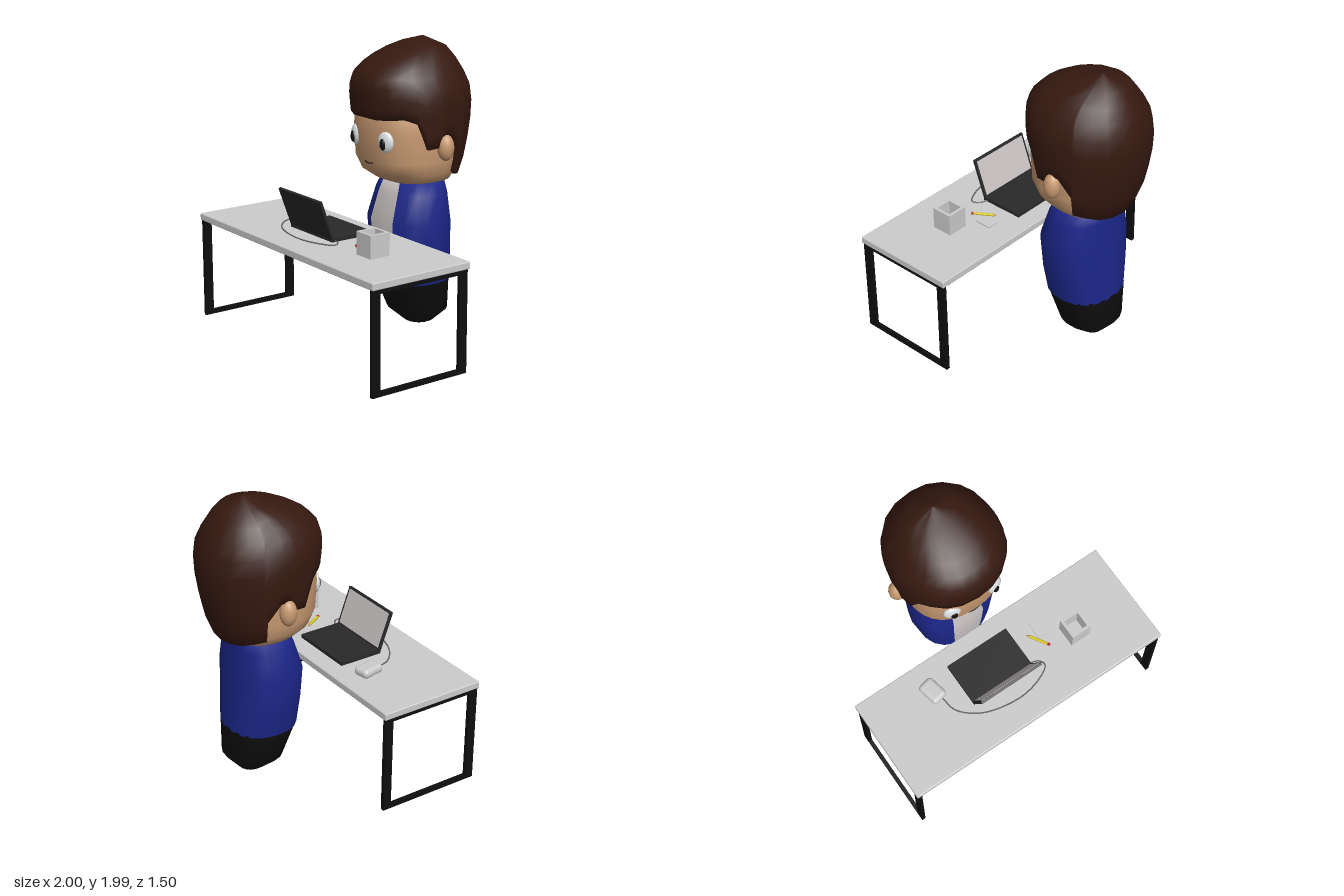
import * as THREE from 'three';
import { RoundedBoxGeometry } from 'three/addons/geometries/RoundedBoxGeometry.js';

const mat = (color) => new THREE.MeshStandardMaterial({ color, side: THREE.DoubleSide });
const GREY = mat(0xcccccc), SKIN = mat(0xc89a72), HAIR = mat(0x361910), BLUE = mat(0x1b2688),
  BLACK = mat(0x0e0e0e), DARK = mat(0x292929), WHITE = mat(0xc9c2c2), EYE = mat(0xdde2e4),
  YELLOW = mat(0xe0d020), RED = mat(0xc02828), WIRE = mat(0x6a6a6a);

// Rows are [y, half width, front z, back z], listed upwards
function sample(rows, y) {
  let i = 0;
  while (i < rows.length - 2 && y > rows[i + 1][0]) i++;
  const a = rows[i], b = rows[i + 1];
  const t = THREE.MathUtils.clamp((y - a[0]) / (b[0] - a[0]), 0, 1);
  return a.map((v, k) => v + (b[k] - v) * t);
}

// Point on a rounded cross-section, angle measured from the front towards +x
function ringPoint([y, w, zf, zb], deg, cx, power, scale = 1) {
  const a = THREE.MathUtils.degToRad(deg);
  const s = Math.sin(a), c = Math.cos(a);
  const u = Math.sign(s) * Math.abs(s) ** power, v = Math.sign(c) * Math.abs(c) ** power;
  return [cx + w * u * scale, y, (zf + zb) / 2 + ((zf - zb) / 2) * v * scale];
}

// Skins a grid of points: nRows rings of nCols points
function skin(nRows, nCols, pointAt, closed) {
  const pos = [], idx = [];
  for (let j = 0; j < nRows; j++) for (let i = 0; i < nCols; i++) pos.push(...pointAt(j, i));
  for (let j = 0; j < nRows - 1; j++) {
    for (let i = 0; i < (closed ? nCols : nCols - 1); i++) {
      const k = (i + 1) % nCols, a = j * nCols + i, b = j * nCols + k;
      idx.push(a, b, b + nCols, a, b + nCols, a + nCols);
    }
  }
  const g = new THREE.BufferGeometry();
  g.setAttribute('position', new THREE.Float32BufferAttribute(pos, 3));
  g.setIndex(idx);
  g.computeVertexNormals();
  return g;
}

function loft(rows, angles, cx, power, closed) {
  return skin(rows.length, angles.length, (j, i) => ringPoint(rows[j], angles[i], cx, power), closed);
}

const range = (from, to, n) => Array.from({ length: n + 1 }, (_, i) => from + ((to - from) * i) / n);

function add(parent, name, geometry, material, x = 0, y = 0, z = 0) {
  const m = new THREE.Mesh(geometry, material);
  m.name = name;
  m.position.set(x, y, z);
  parent.add(m);
  return m;
}
const box = (w, h, d) => new THREE.BoxGeometry(w, h, d);

function makePerson() {
  const person = new THREE.Group();
  person.name = 'person';
  const cx = -0.035, bx = -0.02;
  const around = range(0, 360, 18).slice(0, -1);

  // Tapered lower body
  add(person, 'trousers', loft([[0.005, 0, -0.41, -0.41], [0.005, 0.1, -0.31, -0.5],
    [0.1, 0.21, -0.2, -0.585], [0.34, 0.255, -0.1, -0.58]], around, bx, 0.85, true), BLACK);

  // Open jacket with the shirt showing down the front
  const torso = [[0.33, 0.257, -0.1, -0.58], [0.54, 0.297, -0.085, -0.565], [0.76, 0.312, -0.073, -0.555],
    [0.95, 0.27, -0.13, -0.54], [1.04, 0.225, -0.165, -0.53], [1.06, 0, -0.34, -0.34]];
  add(person, 'jacket', loft(torso, range(19, 341, 17), bx, 0.85, false), BLUE);
  add(person, 'shirt', loft(torso, range(-19, 19, 3), bx, 0.85, false), WHITE);

  // Rounded square head
  add(person, 'head', loft([[1.0, 0, -0.35, -0.35], [1.01, 0.17, -0.2, -0.54], [1.04, 0.265, -0.12, -0.58],
    [1.1, 0.31, -0.03, -0.6], [1.19, 0.332, 0.015, -0.62], [1.39, 0.338, 0.03, -0.65],
    [1.55, 0.33, 0.02, -0.66], [1.7, 0.25, -0.06, -0.6], [1.74, 0, -0.35, -0.35]],
    range(0, 360, 28).slice(0, -1), cx, 0.83, true), SKIN);

  // Hair cap: every strand column ends at its own hairline height
  const cap = [[1.03, 0.32, -0.02, -0.63], [1.15, 0.355, 0.0, -0.68], [1.3, 0.375, 0.035, -0.715],
    [1.5, 0.385, 0.06, -0.75], [1.61, 0.39, 0.072, -0.74], [1.69, 0.37, 0.075, -0.73], [1.79, 0.32, 0.05, -0.68],
    [1.9, 0.225, -0.13, -0.61], [1.955, 0.13, -0.3, -0.55], [1.99, 0, -0.44, -0.44]];
  const half = [[0, 1.49], [16, 1.485], [32, 1.49], [47, 1.5], [60, 1.47], [71, 1.29], [84, 1.3], [89, 1.37],
    [97, 1.37], [111, 1.25], [113, 1.1], [128, 1.08], [146, 1.05], [164, 1.035], [180, 1.03]];
  const hairline = [...half, ...half.slice(1, -1).reverse().map(([a, y]) => [360 - a, y])];
  const steps = [0, 0, 0.13, 0.27, 0.41, 0.54, 0.66, 0.76, 0.85, 0.93, 1];
  add(person, 'hair', skin(steps.length, hairline.length, (j, i) => {
    const [angle, low] = hairline[i];
    const row = sample(cap, low + (1.99 - low) * steps[j]);
    return ringPoint(row, angle, cx, 0.92, j === 0 ? 0.87 : 1);
  }, true), HAIR);

  // Ears, eyes and pupils
  for (const s of [-1, 1]) {
    const ear = add(person, s > 0 ? 'leftEar' : 'rightEar', new THREE.SphereGeometry(1, 14, 10), SKIN, cx + s * 0.37, 1.295, -0.345);
    ear.scale.set(0.055, 0.09, 0.058);
    const eye = add(person, s > 0 ? 'leftEye' : 'rightEye', new THREE.SphereGeometry(1, 18, 12), EYE, cx + s * 0.165, 1.34, -0.005);
    eye.scale.set(0.06, 0.072, 0.03);
    eye.rotation.y = s * 0.3;
    const pupil = add(person, s > 0 ? 'leftPupil' : 'rightPupil', new THREE.SphereGeometry(1, 14, 10), BLACK, cx + s * 0.163, 1.328, 0.018);
    pupil.scale.set(0.025, 0.04, 0.02);
    pupil.rotation.y = s * 0.3;
  }

  // Small smile
  const smile = new THREE.QuadraticBezierCurve3(new THREE.Vector3(-0.08, 1.18, 0.008),
    new THREE.Vector3(cx, 1.165, 0.018), new THREE.Vector3(0.01, 1.18, 0.008));
  add(person, 'mouth', new THREE.TubeGeometry(smile, 10, 0.004, 6), BLACK);
  return person;
}

function makeDesk() {
  const desk = new THREE.Group();
  desk.name = 'desk';
  add(desk, 'deskTop', new RoundedBoxGeometry(2, 0.05, 0.76, 2, 0.008), GREY, 0, 0.712, 0.372);
  // Rectangular leg frames
  for (const s of [-1, 1]) {
    const frame = new THREE.Group();
    frame.name = s > 0 ? 'leftLegFrame' : 'rightLegFrame';
    frame.position.x = s * 0.975;
    for (const z of [0.035, 0.715]) add(frame, 'upright', box(0.027, 0.69, 0.06), BLACK, 0, 0.345, z);
    for (const y of [0.015, 0.673]) add(frame, 'rail', box(0.027, 0.03, 0.68), BLACK, 0, y, 0.375);
    desk.add(frame);
  }
  return desk;
}

function makeLaptop() {
  const laptop = new THREE.Group();
  laptop.name = 'laptop';
  laptop.position.set(-0.095, 0.737, 0);
  add(laptop, 'keyboardBase', box(0.48, 0.025, 0.32), DARK, 0, 0.0125, 0.28);
  const lid = new THREE.Group();
  lid.name = 'lid';
  lid.position.set(0, 0.015, 0.43);
  lid.rotation.x = 0.35;
  add(lid, 'lidPanel', box(0.48, 0.285, 0.018), DARK, 0, 0.1425, 0);
  add(lid, 'screen', box(0.45, 0.25, 0.004), WHITE, 0, 0.145, -0.0095);
  laptop.add(lid);
  return laptop;
}

function makeDeskItems() {
  const items = new THREE.Group();
  items.name = 'deskItems';

  // Mouse and its cable
  const mouse = add(items, 'mouse', new RoundedBoxGeometry(0.12, 0.065, 0.17, 4, 0.03), GREY, -0.515, 0.77, 0.21);
  mouse.rotation.y = 0.2;
  const path = [[-0.485, 0.285], [-0.46, 0.4], [-0.32, 0.52], [-0.05, 0.575], [0.14, 0.535], [0.22, 0.48], [0.2, 0.435], [0.135, 0.41]];
  const curve = new THREE.CatmullRomCurve3(path.map(([x, z]) => new THREE.Vector3(x, 0.744, z)));
  add(items, 'mouseCable', new THREE.TubeGeometry(curve, 60, 0.005, 6), WIRE);

  // Pencil lying at an angle, point towards the back
  const pencil = new THREE.Group();
  pencil.name = 'pencil';
  pencil.position.set(0.282, 0.748, 0.31);
  pencil.rotation.y = Math.atan2(0.095, 0.15);
  const rod = (name, rTip, rEnd, length, z, m) =>
    add(pencil, name, new THREE.CylinderGeometry(rEnd, rTip, length, 6).rotateX(Math.PI / 2), m, 0, 0, z);
  rod('pencilTip', 0.001, 0.01, 0.025, -0.077, SKIN);
  rod('pencilBody', 0.01, 0.01, 0.135, 0.003, YELLOW);
  rod('pencilEraser', 0.01, 0.01, 0.018, 0.079, RED);
  items.add(pencil);

  add(items, 'notepad', box(0.075, 0.01, 0.125), GREY, 0.332, 0.741, 0.243);

  // Square pen holder
  const holder = new THREE.Group();
  holder.name = 'penHolder';
  holder.position.set(0.525, 0.735, 0.395);
  add(holder, 'holderFloor', box(0.15, 0.015, 0.15), GREY, 0, 0.0075, 0);
  for (const s of [-1, 1]) {
    add(holder, 'holderSide', box(0.02, 0.155, 0.15), GREY, s * 0.065, 0.0775, 0);
    add(holder, 'holderWall', box(0.11, 0.155, 0.02), GREY, 0, 0.0775, s * 0.065);
  }
  items.add(holder);
  return items;
}

export function createModel() {
  const model = new THREE.Group();
  model.name = 'personAtDesk';
  model.add(makePerson(), makeDesk(), makeLaptop(), makeDeskItems());
  return model;
}
